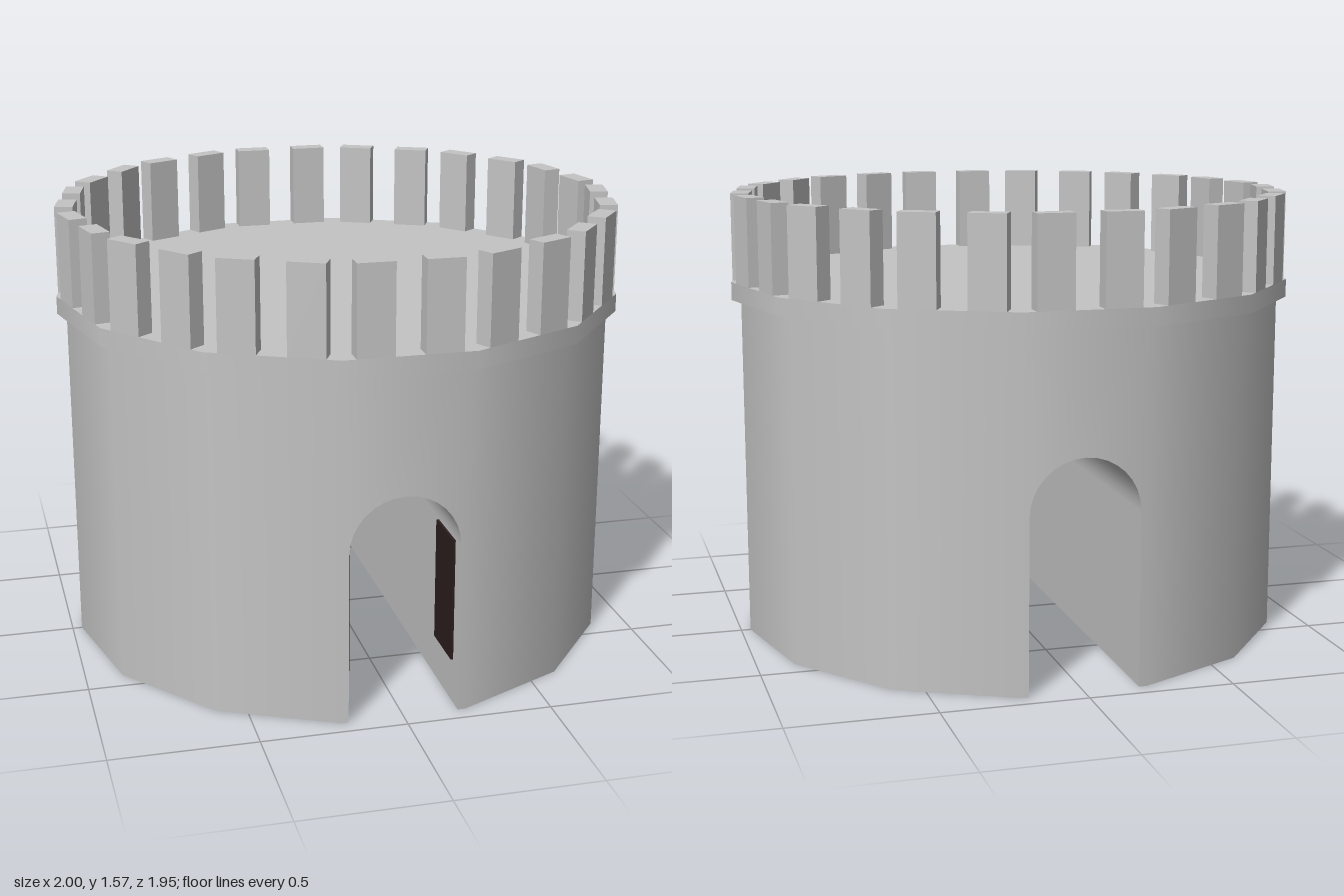
import * as THREE from 'three';

const SIDES = 14;
const STEP = (Math.PI * 2) / SIDES;
const WALL_R = 0.967, WALL_H = 1.205;       // tower wall
const RIM_R = 1, RIM_TOP = 1.268;           // projecting rim and roof
const TOP = 1.573;                          // top of the battlements
const ARCH_R = 0.189, SPRING = 0.598;       // passage through the tower
const END_Z = WALL_R * Math.cos(STEP / 2);  // flat front and back facets
const END_X = WALL_R * Math.sin(STEP / 2);

export function createModel() {
  const stone = new THREE.MeshStandardMaterial({ color: 0xc4c4c4, side: THREE.DoubleSide });
  stone.name = 'stone grey';
  const dark = new THREE.MeshStandardMaterial({ color: 0x2b1e1c });
  dark.name = 'dark brown';

  const model = new THREE.Group();
  model.name = 'roundTower';
  const add = (name, geometry, material = stone, parent = model) => {
    const mesh = new THREE.Mesh(geometry, material);
    mesh.name = name;
    parent.add(mesh);
    return mesh;
  };

  // Front and back facets, with the archway cut out
  const facet = new THREE.Shape();
  facet.moveTo(-END_X, WALL_H);
  facet.lineTo(-END_X, 0);
  facet.lineTo(-ARCH_R, 0);
  facet.lineTo(-ARCH_R, SPRING);
  facet.absarc(0, SPRING, ARCH_R, Math.PI, 0, true);
  facet.lineTo(ARCH_R, 0);
  facet.lineTo(END_X, 0);
  facet.lineTo(END_X, WALL_H);

  // The tower is a hollow shell, open underneath
  for (const [side, turn] of [['left', 0], ['right', Math.PI]]) {
    // Curved outer wall
    const wall = new THREE.CylinderGeometry(WALL_R, WALL_R, WALL_H, SIDES / 2 - 1, 1, true,
      STEP / 2, Math.PI - STEP);
    add(side + 'Wall', wall.translate(0, WALL_H / 2, 0).rotateY(turn));

    // Gate facet, with normals that blend into the curved wall
    const gate = new THREE.ShapeGeometry(facet, 8).translate(0, 0, END_Z);
    const p = gate.attributes.position, n = gate.attributes.normal;
    for (let i = 0; i < p.count; i++) {
      const len = Math.hypot(p.getX(i), END_Z);
      n.setXYZ(i, p.getX(i) / len, 0, END_Z / len);
    }
    add(turn ? 'backGateWall' : 'frontGateWall', gate.rotateY(turn));

    // Passage wall
    const jamb = new THREE.PlaneGeometry(END_Z * 2, SPRING).rotateY(-Math.PI / 2);
    add(side + 'PassageWall', jamb.translate(ARCH_R, SPRING / 2, 0).rotateY(turn));

    // Thin dark door panel just inside the front arch
    const door = add(side + 'DoorPanel', new THREE.BoxGeometry(0.009, 0.432, 0.19), dark);
    door.position.set(turn ? -0.18 : 0.18, 0.381, 0.801);
  }

  // Vaulted passage ceiling
  const vault = new THREE.CylinderGeometry(ARCH_R, ARCH_R, END_Z * 2, 16, 1, true,
    Math.PI / 2, Math.PI);
  add('passageVault', vault.rotateX(Math.PI / 2).translate(0, SPRING, 0));

  // Projecting rim with the flat roof
  const rim = new THREE.CylinderGeometry(RIM_R, RIM_R, RIM_TOP - WALL_H, SIDES, 1, false, STEP / 2);
  add('roofRim', rim.translate(0, (RIM_TOP + WALL_H) / 2, 0));

  // Two merlons on every side of the rim
  const battlements = new THREE.Group();
  battlements.name = 'battlements';
  model.add(battlements);
  const depth = 0.064;
  const merlon = new THREE.BoxGeometry(0.125, TOP - RIM_TOP, depth);
  const rimApothem = RIM_R * Math.cos(STEP / 2);
  for (let i = 0; i < SIDES; i++) {
    for (const x of [-0.112, 0.112]) {
      const mesh = add('merlon', merlon, stone, battlements);
      mesh.position.set(x, (TOP + RIM_TOP) / 2, rimApothem - depth / 2);
      mesh.position.applyAxisAngle(THREE.Object3D.DEFAULT_UP, i * STEP);
      mesh.rotation.y = i * STEP;
    }
  }
  return model;
}
